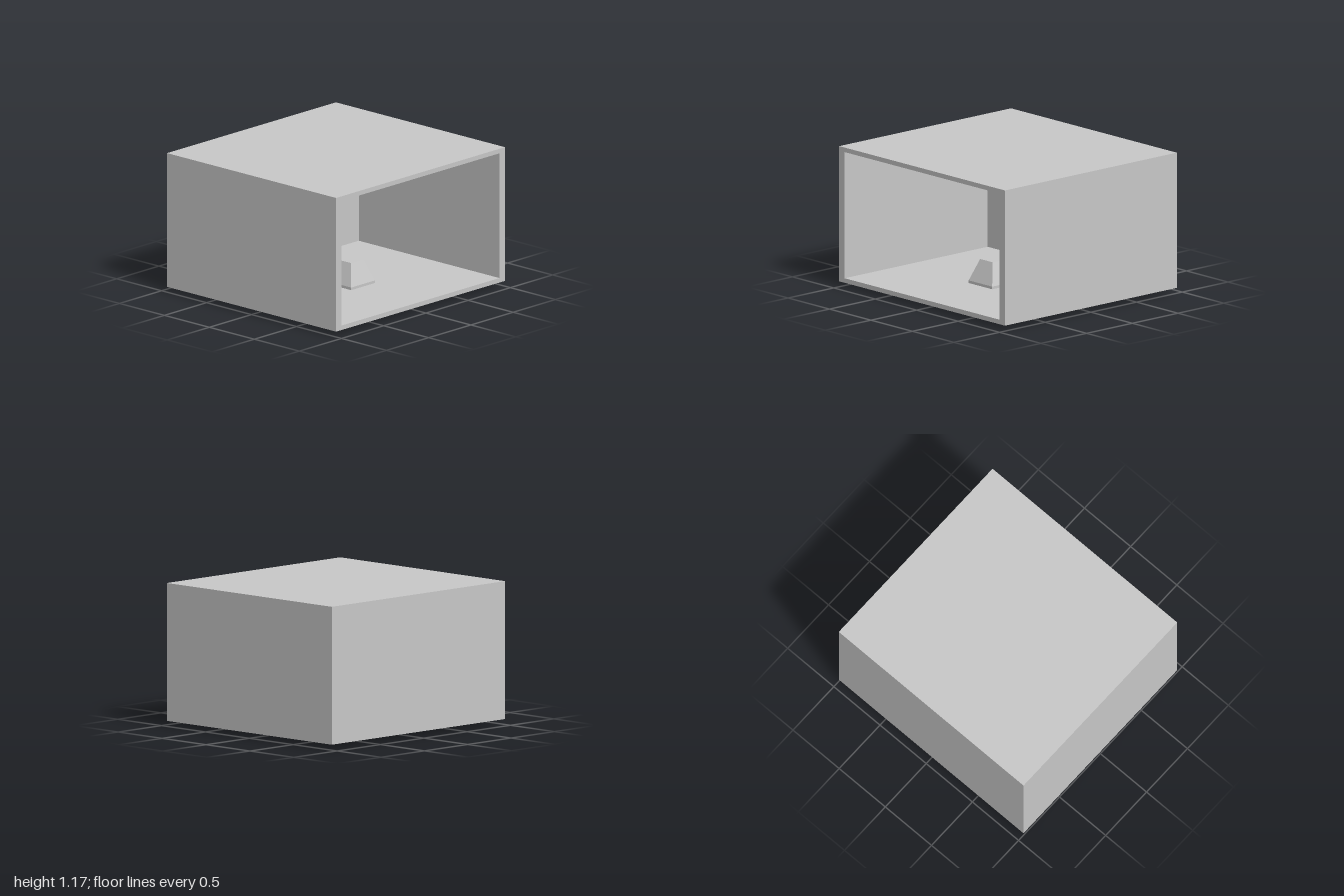
import * as THREE from 'three';

const FRONT = 0.94, BACK = -0.94;

// Box without its +z face; inward turns it into a visible cavity
function openBox(x, y0, y1, z0, z1, inward) {
  const geo = new THREE.BoxGeometry(2 * x, y1 - y0, z1 - z0);
  const index = Array.from(geo.index.array);
  index.splice(24, 6);
  if (inward) {
    index.reverse();
    const n = geo.attributes.normal;
    for (let i = 0; i < n.count; i++) n.setXYZ(i, -n.getX(i), -n.getY(i), -n.getZ(i));
  }
  geo.setIndex(index);
  geo.clearGroups();
  return geo.translate(0, (y0 + y1) / 2, (z0 + z1) / 2);
}

function rectangle(path, x, y0, y1) {
  path.moveTo(-x, y0);
  path.lineTo(x, y0);
  path.lineTo(x, y1);
  path.lineTo(-x, y1);
  path.closePath();
  return path;
}

export function createModel() {
  const group = new THREE.Group();
  const grey = new THREE.MeshStandardMaterial({ color: 0xc8c8c8 });
  grey.name = 'lightGrey';
  const add = (name, geo) => {
    const mesh = new THREE.Mesh(geo, grey);
    mesh.name = name;
    group.add(mesh);
  };

  // Outer housing, hollow inside with a thick back wall
  add('outerShell', openBox(1, 0.045, 1.175, BACK, FRONT, false));
  add('innerCavity', openBox(0.935, 0.083, 1.137, -0.625, FRONT, true));

  // Rim around the front opening
  const rim = rectangle(new THREE.Shape(), 1, 0.045, 1.175);
  rim.holes.push(rectangle(new THREE.Path(), 0.935, 0.083, 1.137));
  add('frontRim', new THREE.ShapeGeometry(rim).translate(0, 0, FRONT));

  // Plug through the floor: square base with a tapered top
  const plug = new THREE.BoxGeometry(0.284, 0.285, 0.284, 1, 2, 1);
  const p = plug.attributes.position;
  for (let i = 0; i < p.count; i++) {
    const y = p.getY(i);
    if (y > 0.1) {
      p.setX(i, Math.sign(p.getX(i)) * 0.076);
      p.setZ(i, Math.sign(p.getZ(i)) * 0.076);
    } else if (Math.abs(y) < 0.01) {
      p.setY(i, 0.105 - 0.1425);
    }
  }
  const flat = plug.toNonIndexed();
  flat.computeVertexNormals();
  add('floorPlug', flat.translate(0, 0.1425, 0.16));

  return group;
}
